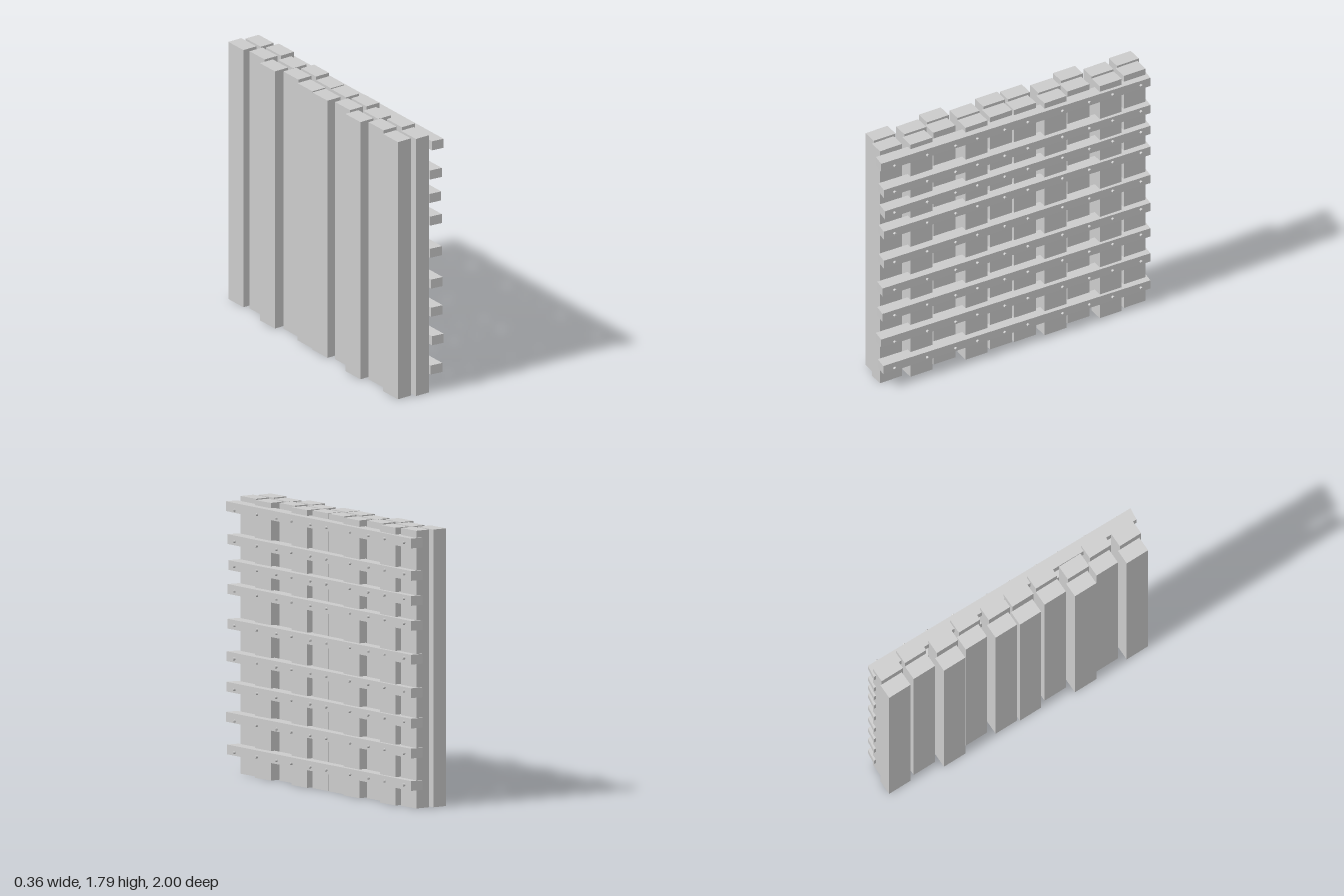
import * as THREE from 'three';

const material = new THREE.MeshStandardMaterial({ color: 0xcccccc, flatShading: true });

const HEIGHT = 1.79, POST_DEPTH = 0.102, POST_WIDTH = 0.163;

// Post centres as [x, z], from the -z end to the +z end
const backPosts = [
  [-0.055, -0.919], [-0.034, -0.718], [-0.093, -0.526], [-0.05, -0.331], [-0.087, -0.127],
  [-0.098, 0.05], [-0.071, 0.257], [-0.13, 0.45], [-0.088, 0.643], [-0.125, 0.849],
];
const frontPosts = [
  [0.066, -0.897], [0.087, -0.706], [0.032, -0.498], [0.071, -0.304], [0.037, -0.098],
  [0.03, 0.077], [0.05, 0.27], [-0.008, 0.476], [0.035, 0.672], [-0.003, 0.876],
];

// Rails as [y at +z end, y at -z end, z of +z end, nail y]
const rails = [
  [0.161, 0.15, 0.985, 0.15], [0.37, 0.359, 1.0, 0.353], [0.565, 0.552, 0.99, 0.557],
  [0.761, 0.748, 0.99, 0.754], [0.972, 0.964, 0.98, 0.968], [1.196, 1.182, 0.98, 1.19],
  [1.351, 1.343, 0.973, 1.35], [1.517, 1.504, 0.98, 1.51], [1.727, 1.713, 1.0, 1.712],
];
const nailZ = [0.903, 0.662, 0.453, 0.292, 0.091, -0.08, -0.335, -0.533, -0.705, -0.914];

const railX = (z) => 0.107 - 0.0155 * z; // the rails lean slightly across the wall
const RAIL_DEPTH = 0.085, RAIL_HEIGHT = 0.063, RAIL_BACK = -0.99;

function addMesh(parent, name, geometry, x = 0, y = 0, z = 0) {
  const mesh = new THREE.Mesh(geometry, material);
  mesh.name = name;
  mesh.position.set(x, y, z);
  parent.add(mesh);
  return mesh;
}

// Long box whose ends follow the lean, tilt and angled cut of a rail
function railGeometry(yFront, yBack, zFront) {
  const g = new THREE.BoxGeometry(RAIL_DEPTH, RAIL_HEIGHT, 1);
  const p = g.attributes.position;
  for (let i = 0; i < p.count; i++) {
    const t = p.getZ(i) + 0.5;
    const z = THREE.MathUtils.lerp(RAIL_BACK, zFront - 0.005, t);
    const x = p.getX(i);
    p.setXYZ(i, x + railX(z), p.getY(i) + THREE.MathUtils.lerp(yBack, yFront, t), z + x * 0.12);
  }
  g.computeVertexNormals();
  return g;
}

export function createModel() {
  const model = new THREE.Group();
  model.name = 'palisadeWall';

  // Two staggered rows of square-cut posts
  const postGeometry = new THREE.BoxGeometry(POST_DEPTH, HEIGHT, POST_WIDTH);
  for (const [row, posts] of [['backPost', backPosts], ['frontPost', frontPosts]]) {
    posts.forEach(([x, z]) => addMesh(model, row, postGeometry, x, HEIGHT / 2, z));
  }

  // Horizontal rails, each with a row of nail heads
  const nailGeometry = new THREE.CylinderGeometry(0.008, 0.012, 0.03, 8).rotateZ(-Math.PI / 2);
  for (const [yFront, yBack, zFront, nailY] of rails) {
    const rail = new THREE.Group();
    rail.name = 'railWithNails';
    addMesh(rail, 'rail', railGeometry(yFront, yBack, zFront));
    for (const z of nailZ) {
      addMesh(rail, 'nail', nailGeometry, railX(z) + RAIL_DEPTH / 2, nailY, z);
    }
    model.add(rail);
  }
  return model;
}
